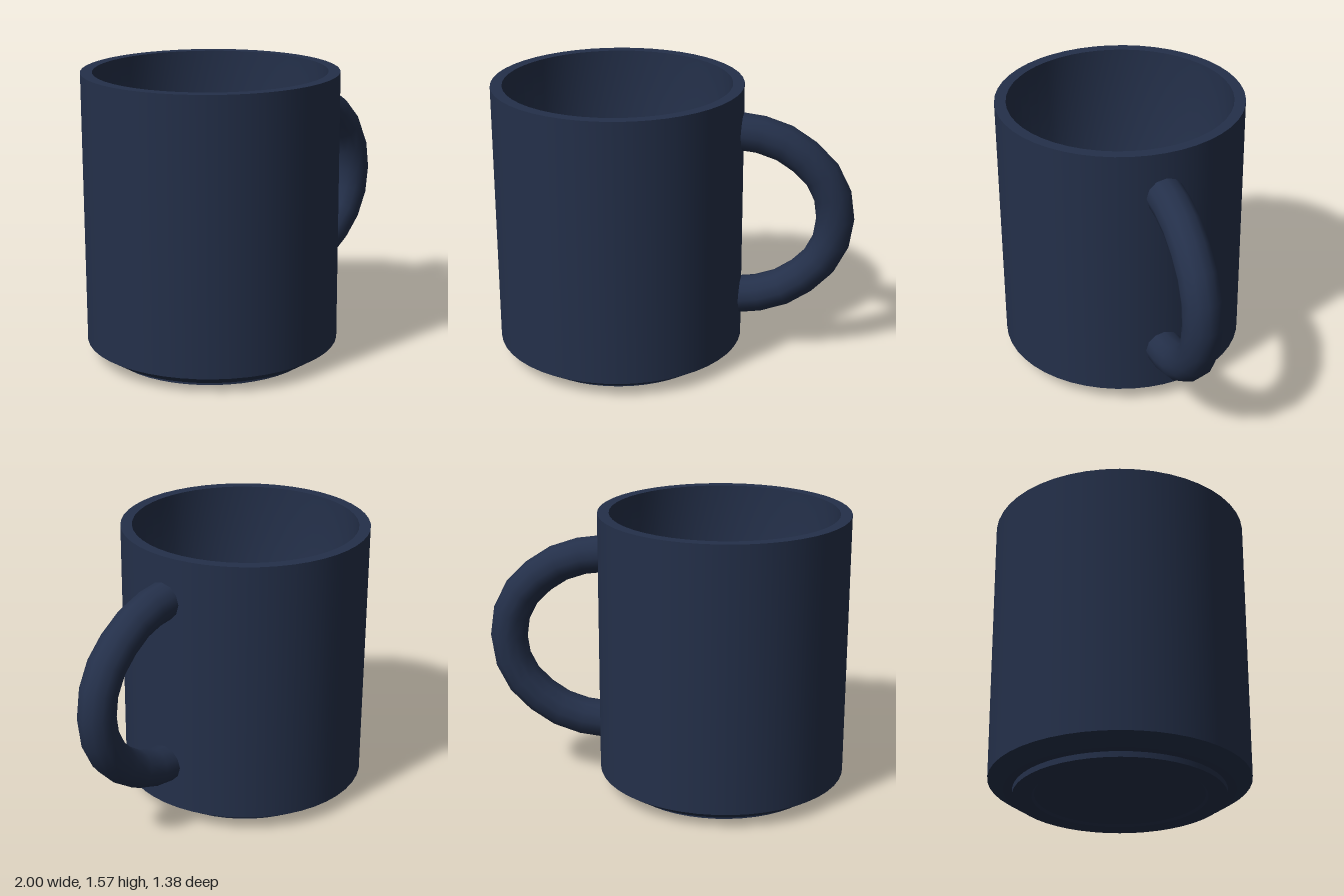
import * as THREE from 'three';

const SEGMENTS = 48;
const AXIS_X = -0.31;

export function createModel() {
  const mug = new THREE.Group();
  mug.name = 'mug';
  const navy = new THREE.MeshStandardMaterial({ color: 0x24304a });
  navy.name = 'navyGlaze';

  // Each lathe profile is its own mesh, so edges between them stay sharp
  const lathe = (name, profile) => {
    const points = profile.map(([r, y]) => new THREE.Vector2(r, y));
    const mesh = new THREE.Mesh(new THREE.LatheGeometry(points, SEGMENTS), navy);
    mesh.name = name;
    mesh.position.x = AXIS_X;
    mug.add(mesh);
  };

  // Underside, foot and chamfer
  lathe('baseRecess', [[0, 0.012], [0.445, 0.012]]);
  lathe('recessWall', [[0.445, 0.012], [0.46, 0]]);
  lathe('footUnderside', [[0.46, 0], [0.56, 0]]);
  lathe('footWall', [[0.56, 0], [0.56, 0.03]]);
  lathe('bodyUnderside', [[0.56, 0.03], [0.605, 0.03]]);
  lathe('chamfer', [[0.605, 0.03], [0.69, 0.085]]);

  // Body wall, rim and hollow
  lathe('outerWall', [[0.69, 0.085], [0.69, 1.565]]);
  lathe('rim', [[0.69, 1.565], [0.627, 1.565]]);
  lathe('interior', [[0.627, 1.565], [0.627, 0.12], [0, 0.12]]);

  // Handle: upper half of the path, mirrored about its middle height
  const midY = 0.825;
  const upper = [
    [0.34, 1.315], [0.478, 1.297], [0.614, 1.249], [0.726, 1.172], [0.819, 1.075], [0.878, 0.952],
  ];
  const lower = upper.map(([x, y]) => [x, 2 * midY - y]).reverse();
  const path = new THREE.CatmullRomCurve3(
    [...upper, [0.895, midY], ...lower].map(([x, y]) => new THREE.Vector3(x, y, 0))
  );
  const handle = new THREE.Mesh(new THREE.TubeGeometry(path, 12, 0.105, 12), navy);
  handle.name = 'handle';
  mug.add(handle);

  return mug;
}
